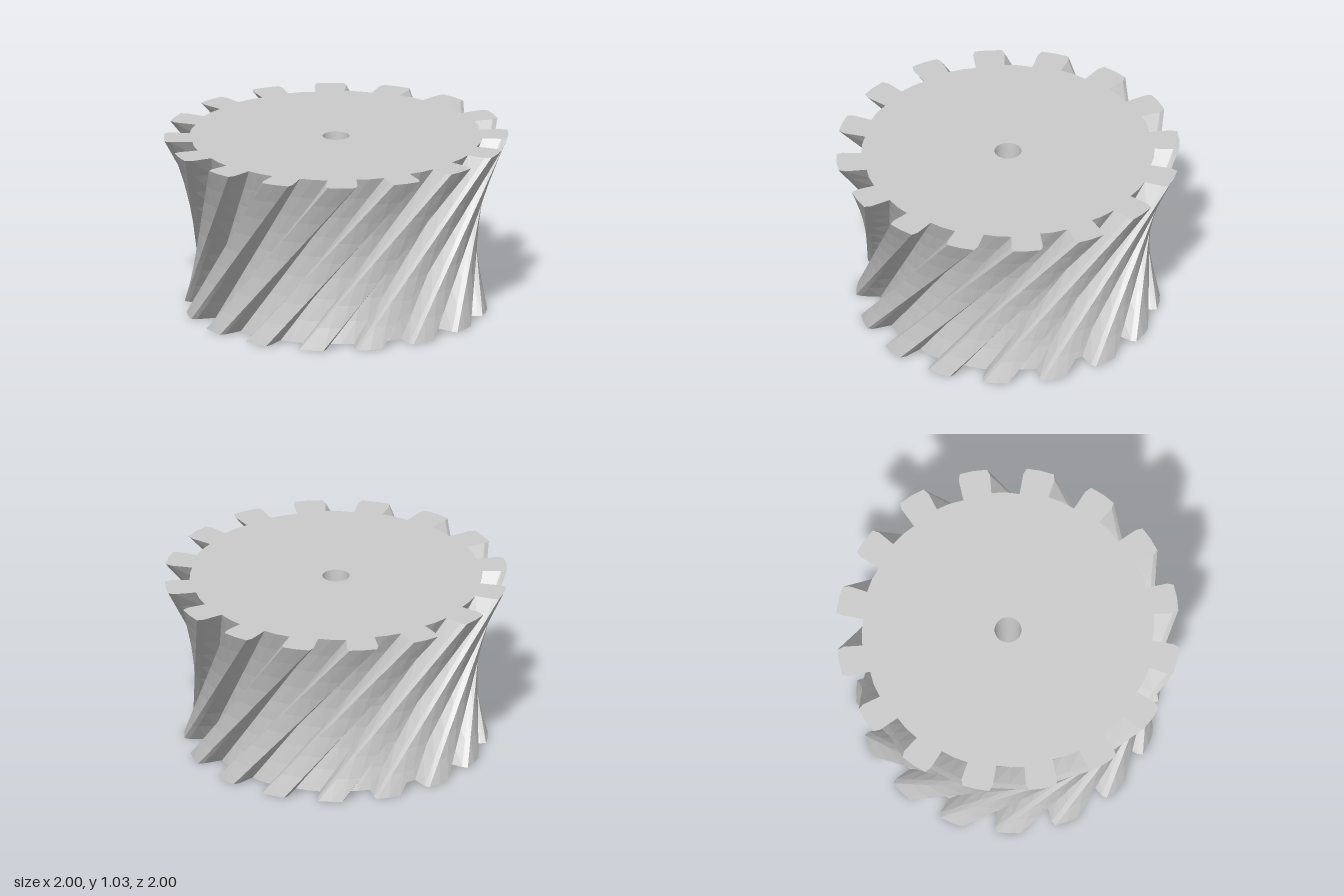
import * as THREE from 'three';

const HEIGHT = 1.03;
const TEETH = 16;
const BOTTOM_SCALE = 0.88;
const TWIST = THREE.MathUtils.degToRad(56.25);

// One tooth and the groove after it: [angle in degrees, radius]
const TOOTH = [
  [-4.7, 0.85], [-5, 0.96], [-4.2, 0.995], [0.4, 1], [5, 1],
  [6, 0.965], [6.7, 0.84], [12, 0.848],
];

// Toothed outline with the round bore
function gearShape() {
  const points = [];
  for (let i = 0; i < TEETH; i++) {
    for (const [deg, r] of TOOTH) {
      const a = THREE.MathUtils.degToRad(deg + (i * 360) / TEETH);
      points.push(new THREE.Vector2(r * Math.sin(a), -r * Math.cos(a)));
    }
  }
  const shape = new THREE.Shape(points);
  shape.holes.push(new THREE.Path().absarc(0, 0, 0.078, 0, Math.PI * 2, true));
  return shape;
}

// Straight lines join the top outline to a smaller, turned copy at the bottom
function skew(geometry) {
  const pos = geometry.attributes.position;
  const top = new THREE.Vector3();
  const bottom = new THREE.Vector3();
  const up = new THREE.Vector3(0, 1, 0);
  for (let i = 0; i < pos.count; i++) {
    top.fromBufferAttribute(pos, i);
    const y = top.y;
    top.y = 0;
    bottom.copy(top).applyAxisAngle(up, -TWIST).multiplyScalar(BOTTOM_SCALE);
    bottom.lerp(top, y / HEIGHT);
    pos.setXYZ(i, bottom.x, y, bottom.z);
  }
  geometry.computeVertexNormals();
  return geometry;
}

export function createModel() {
  const group = new THREE.Group();
  group.name = 'hyperboloidGear';

  const geometry = new THREE.ExtrudeGeometry(gearShape(), {
    depth: HEIGHT, steps: 8, curveSegments: 16, bevelEnabled: false,
  });
  geometry.rotateX(-Math.PI / 2);

  const body = new THREE.Mesh(
    skew(geometry),
    new THREE.MeshStandardMaterial({ color: 0xcccccc, flatShading: true }),
  );
  body.name = 'gearBody';
  group.add(body);
  return group;
}
